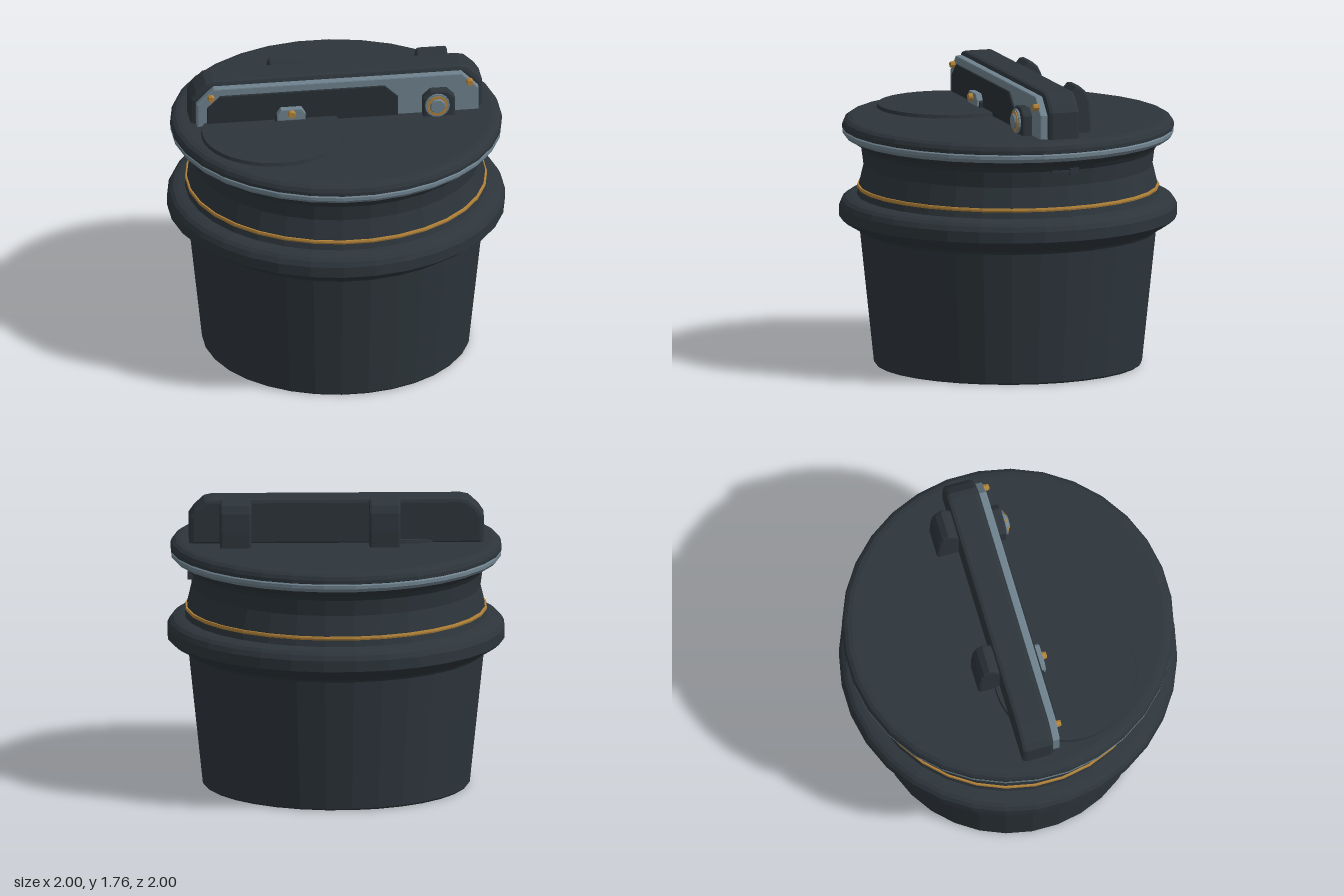
import * as THREE from 'three';

const material = (name, color) => {
  const m = new THREE.MeshStandardMaterial({ color, flatShading: true });
  m.name = name;
  return m;
};

export function createModel() {
  const dark = material('charcoal', 0x2d353b);
  const panel = material('dark panel', 0x282f34);
  const steel = material('blue steel', 0x6e818d);
  const brass = material('brass', 0xb08138);
  const model = new THREE.Group();
  model.name = 'canister';

  const add = (name, geometry, mat, x = 0, y = 0, z = 0) => {
    const mesh = new THREE.Mesh(geometry, mat);
    mesh.name = name;
    mesh.position.set(x, y, z);
    model.add(mesh);
    return mesh;
  };

  // Turned parts: 32 sides with flats facing the axes; radii are measured to the flats
  const SIDES = 32;
  const turned = (name, profile, mat) => add(name, new THREE.LatheGeometry(
    profile.map(([r, y]) => new THREE.Vector2(r / Math.cos(Math.PI / SIDES), y)),
    SIDES, Math.PI / SIDES), mat);

  // Plates: an outline in x,y extruded from z0 to z1 with a small bevel inside the outline
  const plateGeometry = (outline, z0, z1, bevel) => {
    const shape = new THREE.Shape(outline.map(([x, y]) => new THREE.Vector2(x, y)));
    const g = new THREE.ExtrudeGeometry(shape, {
      depth: z1 - z0 - 2 * bevel, bevelEnabled: bevel > 0, bevelSize: bevel,
      bevelThickness: bevel, bevelOffset: -bevel, bevelSegments: 2,
    });
    return g.translate(0, 0, z0 + bevel);
  };
  const plate = (name, outline, z0, z1, bevel, mat) =>
    add(name, plateGeometry(outline, z0, z1, bevel), mat);

  // Rectangle with cut top corners
  const cutTop = (x0, x1, y0, y1, cx, cy = cx) => [
    [x0, y0], [x1, y0], [x1, y1 - cy], [x1 - cx, y1], [x0 + cx, y1], [x0, y1 - cy]];

  // Round part whose axis points forward
  const round = (name, r, x, y, z0, z1, mat, sides = 16, rFront = r) => {
    const g = new THREE.CylinderGeometry(rFront, r, z1 - z0, sides).rotateX(Math.PI / 2);
    return add(name, g, mat, x, y, (z0 + z1) / 2);
  };

  // Tapered cup, collar and waisted neck
  turned('body', [
    [0, 0], [0.785, 0], [0.793, 0.01], [0.876, 0.8], [0.886, 0.815], [0.97, 0.864],
    [1, 0.89], [1, 0.955], [0.985, 0.985], [0.965, 1.003], [0.935, 1.013], [0.895, 1.02],
    [0.885, 1.055], [0.882, 1.085], [0.855, 1.2], [0.868, 1.295], [0.888, 1.325],
    [0.955, 1.37], [0, 1.375],
  ], dark);
  turned('brassBand', [[0.875, 1.056], [0.892, 1.058], [0.895, 1.068], [0.892, 1.079], [0.87, 1.081]], brass);
  turned('lidRim', [[0.94, 1.362], [0.962, 1.37], [0.979, 1.39], [0.979, 1.41], [0.965, 1.422], [0.9, 1.424]], steel);
  turned('lid', [
    [0, 1.415], [0.965, 1.415], [0.982, 1.422], [0.982, 1.442], [0.972, 1.465],
    [0.952, 1.48], [0.925, 1.486], [0, 1.486],
  ], dark);

  // Raised disc on the lid
  add('lidDisc', new THREE.CylinderGeometry(0.422, 0.43, 0.03, 40), dark, -0.412, 1.492, 0.235);

  // Handle bar with its face plate and inset panel
  plate('handleBar', [
    [-0.875, 1.47], [0.875, 1.47], [0.875, 1.645], [0.845, 1.69],
    [0.785, 1.745], [0.74, 1.755], [-0.74, 1.755], [-0.785, 1.745],
    [-0.845, 1.69], [-0.875, 1.645]], -0.16, 0.035, 0.025, dark);
  plate('facePlate', cutTop(-0.845, 0.845, 1.47, 1.728, 0.1), 0.03, 0.08, 0.008, steel);
  plate('inset', cutTop(-0.785, 0.36, 1.47, 1.682, 0.08, 0.075), 0.07, 0.092, 0.004, panel);

  // Screws in the plate corners
  for (const x of [-0.762, 0.79]) round('plateScrew', 0.023, x, 1.672, 0.075, 0.108, brass, 8, 0.018);

  // Small latch in the middle of the panel
  plate('latchBase', cutTop(-0.38, -0.19, 1.48, 1.545, 0.01), 0.085, 0.115, 0.004, panel);
  plate('latch', cutTop(-0.37, -0.2, 1.512, 1.587, 0.022, 0.035), 0.085, 0.13, 0.006, steel);
  round('latchScrew', 0.026, -0.285, 1.558, 0.12, 0.155, brass, 10, 0.02);

  // Lock button in its housing
  plate('buttonHousing', cutTop(0.505, 0.695, 1.47, 1.648, 0.045), 0.075, 0.14, 0.012, dark);
  round('buttonRing', 0.074, 0.588, 1.56, 0.13, 0.152, steel);
  round('buttonTrim', 0.063, 0.588, 1.56, 0.145, 0.158, brass);
  round('button', 0.052, 0.588, 1.56, 0.15, 0.17, steel, 12, 0.042);

  // Hinge clips behind the handle: side profile (depth, height) extruded along x
  const clipProfile = [
    [0.15, 1.47], [0.29, 1.47], [0.288, 1.58], [0.277, 1.69], [0.255, 1.735], [0.22, 1.765],
    [0.195, 1.765], [0.165, 1.73], [0.15, 1.7]];
  for (const x of [-0.285, 0.602]) {
    const g = plateGeometry(clipProfile, -0.093, 0.093, 0.015).rotateY(Math.PI / 2);
    add('hingeClip', g, dark, x, 0, 0);
  }

  // Small lever on the neck
  add('leverArm', new THREE.BoxGeometry(0.035, 0.016, 0.14), dark, 0.864, 1.291, -0.05);
  add('leverTip', new THREE.BoxGeometry(0.04, 0.044, 0.055), dark, 0.866, 1.288, -0.122);

  return model;
}
